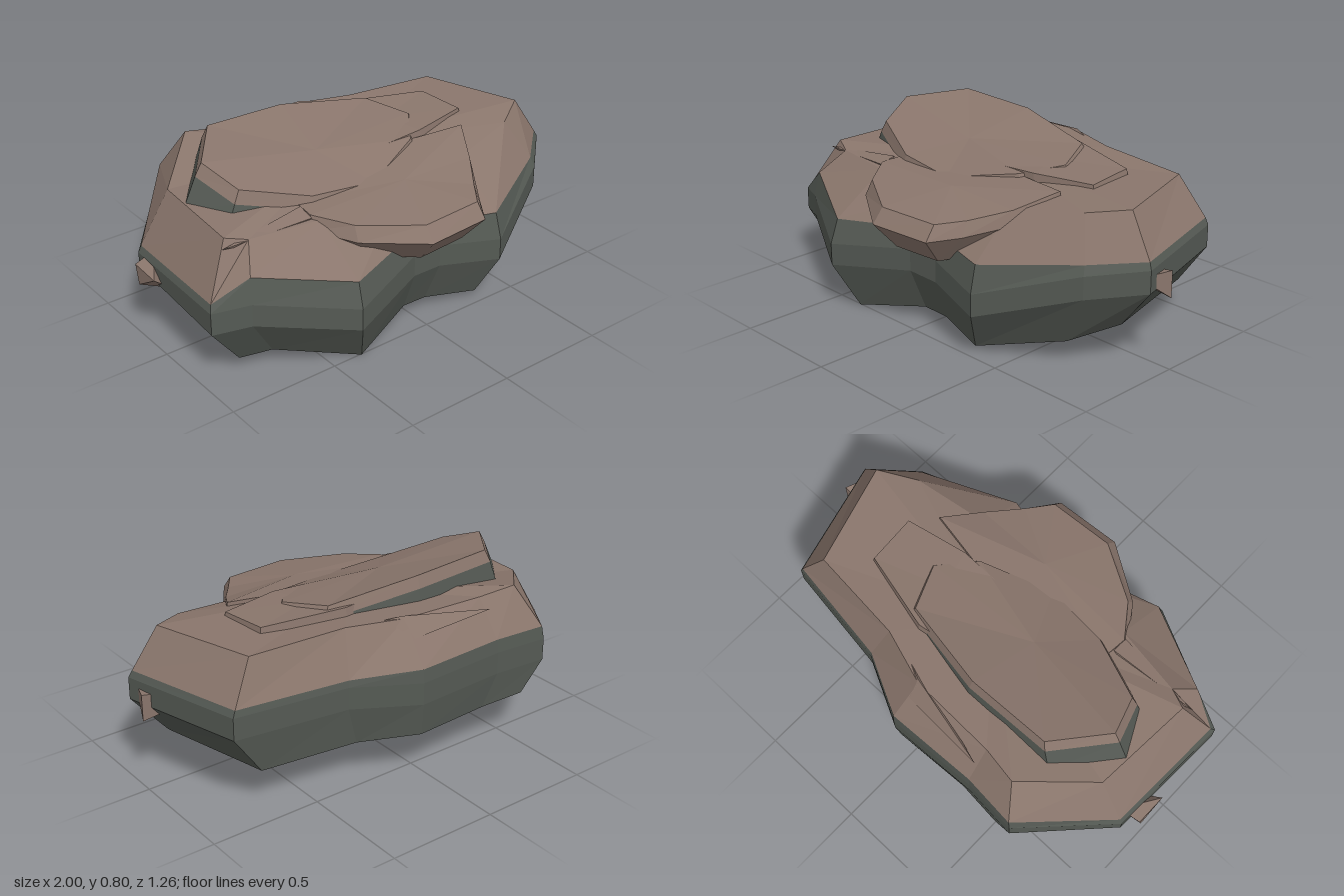
import * as THREE from 'three';
import { ConvexGeometry } from 'three/addons/geometries/ConvexGeometry.js';

const brown = new THREE.MeshStandardMaterial({ color: 0x8a766c });
brown.name = 'brown stone';
const grey = new THREE.MeshStandardMaterial({ color: 0x555a54 });
grey.name = 'dark grey stone';

// Flat-shaded skin over rings listed from bottom to top, with optional fan caps
function skin(rings, bottom, top) {
  const out = [];
  const tri = (a, b, c) => out.push(...a, ...b, ...c);
  const n = rings[0].length;
  for (let i = 0; i < n; i++) {
    const j = (i + 1) % n;
    for (let r = 0; r + 1 < rings.length; r++) {
      const lo = rings[r], hi = rings[r + 1];
      tri(lo[i], lo[j], hi[j]);
      tri(lo[i], hi[j], hi[i]);
    }
    if (bottom) tri(bottom, rings[0][j], rings[0][i]);
    if (top) {
      const last = rings[rings.length - 1];
      tri(top, last[i], last[j]);
    }
  }
  const geo = new THREE.BufferGeometry();
  geo.setAttribute('position', new THREE.Float32BufferAttribute(out, 3));
  geo.computeVertexNormals();
  return geo;
}

// Scale a ring about a centre in plan and shift it in height
function offsetRing(ring, cx, cz, sx, sz, dy) {
  return ring.map(([x, y, z]) => [cx + (x - cx) * sx, y + dy, cz + (z - cz) * sz]);
}

export function createModel() {
  const rock = new THREE.Group();
  rock.name = 'rock';
  const add = (name, geo, mat) => {
    const mesh = new THREE.Mesh(geo, mat);
    mesh.name = name;
    rock.add(mesh);
  };

  // Main boulder columns: x, z, bottom y, middle y, colour edge y, top y, top x, top z
  const columns = [
    [-0.97, 0.32, 0.05, 0.25, 0.38, 0.60, -0.83, 0.22],
    [-0.82, 0.39, 0.07, 0.27, 0.48, 0.58, -0.74, 0.26],
    [-0.43, 0.60, 0.00, 0.20, 0.41, 0.58, -0.42, 0.31],
    [-0.05, 0.47, 0.06, 0.25, 0.44, 0.58, 0.00, 0.30],
    [0.10, 0.46, 0.05, 0.24, 0.44, 0.58, 0.10, 0.30],
    [0.39, 0.53, 0.02, 0.20, 0.42, 0.60, 0.36, 0.27],
    [0.80, 0.31, 0.10, 0.34, 0.48, 0.65, 0.70, 0.20],
    [0.99, 0.13, 0.18, 0.37, 0.50, 0.68, 0.86, 0.10],
    [0.84, -0.42, 0.18, 0.37, 0.50, 0.68, 0.72, -0.36],
    [0.33, -0.49, 0.19, 0.37, 0.50, 0.69, 0.28, -0.40],
    [0.05, -0.63, 0.21, 0.36, 0.52, 0.69, 0.03, -0.48],
    [-0.38, -0.61, 0.21, 0.36, 0.52, 0.68, -0.37, -0.49],
    [-0.63, -0.63, 0.22, 0.36, 0.52, 0.70, -0.54, -0.52],
    [-0.95, -0.27, 0.15, 0.28, 0.38, 0.61, -0.80, -0.25],
  ];
  const base = columns.map(([x, z, b]) => [x * 0.84, b, z * (z > 0 ? 0.84 : 0.97)]);
  const middle = columns.map(([x, z, , m]) => [x, m, z]);
  const belt = columns.map(([x, z, , m, e]) => [x, Math.min(m + 0.1, e - 0.03), z]);
  const edge = columns.map(([x, z, , , e]) => [x * 0.985, e, z * (z > 0 ? 0.94 : 0.99)]);
  const shoulder = columns.map(([, , , , , t, x, z]) => [x, t, z]);
  add('boulderSides', skin([base, middle, belt, edge], [0, 0.12, 0]), grey);
  add('boulderTop', skin([edge, shoulder], null, [0, 0.66, -0.05]), brown);

  // Raised slab on the top
  const slab = [
    [-0.72, 0.77, -0.10], [-0.66, 0.70, 0.08], [-0.38, 0.63, 0.20], [-0.08, 0.61, 0.23],
    [0.23, 0.67, 0.10], [0.35, 0.70, -0.06], [0.26, 0.73, -0.26], [-0.15, 0.785, -0.34],
    [-0.54, 0.80, -0.33],
  ];
  const slabRim = offsetRing(slab, -0.2, -0.05, 1.06, 1.06, -0.055);
  const slabBase = offsetRing(slab, -0.2, -0.05, 1.18, 1.12, -0.19);
  add('upperSlabSides', skin([slabBase, slabRim]), grey);
  add('upperSlabTop', skin([slabRim, slab], null, [-0.2, 0.70, -0.02]), brown);

  // Low step beside the raised slab
  const step = [
    [-0.1, 0.66, 0.08], [0.30, 0.685, 0.08], [0.58, 0.69, 0.02],
    [0.56, 0.70, -0.21], [0.20, 0.72, -0.30], [-0.1, 0.71, -0.25],
  ];
  add('lowStep', skin([offsetRing(step, 0.2, -0.1, 1.04, 1.06, -0.07), step], null, [0.25, 0.695, -0.1]), brown);

  // Overhanging ledge at the front
  const ledge = [
    [-0.44, 0.605, 0.17], [-0.45, 0.60, 0.28], [-0.34, 0.58, 0.43], [-0.09, 0.56, 0.58],
    [0.21, 0.56, 0.56], [0.29, 0.57, 0.45], [0.40, 0.605, 0.30], [0.50, 0.67, 0.13],
    [0.05, 0.65, 0.05],
  ];
  const lip = offsetRing(ledge, 0.03, 0.15, 1.02, 1.12, -0.065);
  const under = offsetRing(ledge, 0.03, 0.15, 0.8, 0.88, -0.185);
  add('frontLedge', skin([under, lip, ledge], [0.03, 0.40, 0.3], [0.03, 0.615, 0.3]), brown);

  // Small chips and ridges bedded in the surface
  const chips = {
    rightSideChip: [[-1, 0.34, -0.21], [-1, 0.25, -0.19], [-1, 0.33, -0.06], [-0.9, 0.36, -0.23], [-0.9, 0.24, -0.1]],
    leftSideChip: [[1, 0.44, 0.01], [1, 0.32, 0.01], [0.95, 0.43, 0.15], [0.9, 0.42, 0.01], [0.9, 0.33, 0.01]],
    frontRidge: [[-0.86, 0.57, 0.25], [-0.45, 0.61, 0.21], [-0.45, 0.59, 0.29], [-0.6, 0.5, 0.2], [-0.45, 0.5, 0.25]],
    backRidge: [[-0.37, 0.65, -0.56], [0.04, 0.70, -0.47], [0.11, 0.69, -0.44], [0.03, 0.62, -0.54], [0, 0.6, -0.44]],
  };
  for (const [name, pts] of Object.entries(chips)) {
    add(name, new ConvexGeometry(pts.map((p) => new THREE.Vector3(...p))), brown);
  }
  return rock;
}
